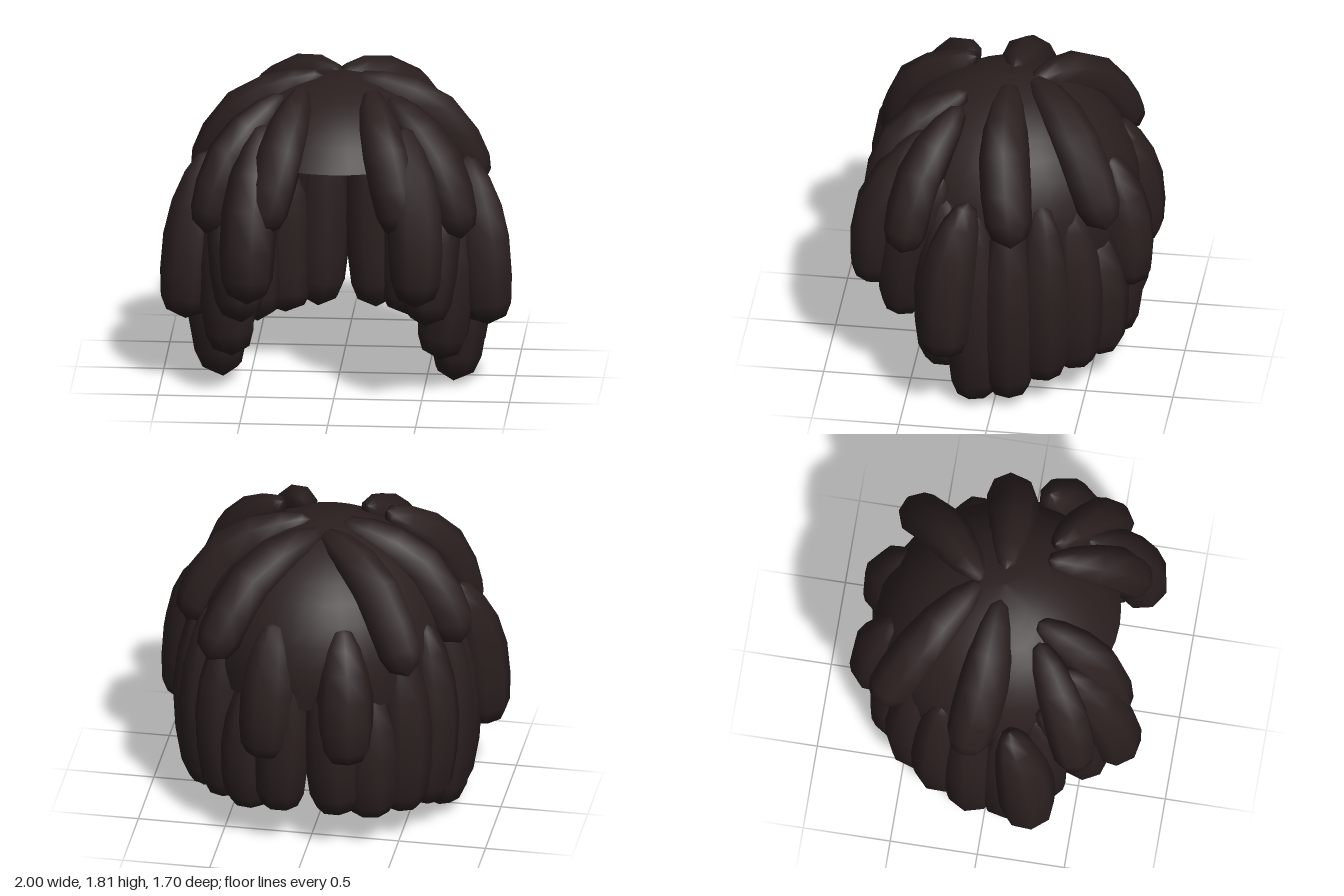
import * as THREE from 'three';

const SIDES = 8;
// thickness of a lock along its length: [position, share of full radius]
const PROFILE = [[0, 0], [0.035, 0.38], [0.15, 0.68], [0.32, 0.9], [0.5, 1], [0.7, 1], [0.86, 0.92], [0.945, 0.7], [1, 0]];

// closed rings of points joined into a smooth skin
function ringGeometry(rows, cols, pointAt) {
  const pos = [], index = [];
  for (let i = 0; i < rows; i++)
    for (let j = 0; j < cols; j++) pos.push(...pointAt(i, j));
  for (let i = 0; i < rows - 1; i++)
    for (let j = 0; j < cols; j++) {
      const a = i * cols + j, b = i * cols + (j + 1) % cols;
      index.push(a, b, a + cols, b, b + cols, a + cols);
    }
  const g = new THREE.BufferGeometry();
  g.setAttribute('position', new THREE.Float32BufferAttribute(pos, 3));
  g.setIndex(index);
  g.computeVertexNormals();
  return g;
}

// tapered tube with pointed ends following a curve
function lockGeometry(points, radius) {
  const curve = new THREE.CatmullRomCurve3(points.map(p => new THREE.Vector3(...p)));
  const rings = PROFILE.map(([t, share]) => {
    const c = curve.getPointAt(t), T = curve.getTangentAt(t);
    const U = new THREE.Vector3(c.x, 0.4, c.z);
    U.addScaledVector(T, -U.dot(T)).normalize();
    return { c, U, B: new THREE.Vector3().crossVectors(T, U), r: Math.max(share * radius, 0.001) };
  });
  return ringGeometry(rings.length, SIDES, (i, j) => {
    const { c, U, B, r } = rings[i], a = (j / SIDES) * Math.PI * 2;
    return c.clone().addScaledVector(U, Math.cos(a) * r).addScaledVector(B, Math.sin(a) * r).toArray();
  });
}

// dome whose lower edge is high at the forehead and low around the sides and nape
function capGeometry() {
  const cols = 40, rows = 11;
  return ringGeometry(rows, cols, (i, j) => {
    const a = (j / cols) * Math.PI * 2, front = Math.cos(a);
    const edge = THREE.MathUtils.lerp(0.92, 1.38, THREE.MathUtils.smoothstep(front, 0.45, 0.9));
    const p = Math.max(0.002, (i / (rows - 1)) * Math.acos((edge - 1.05) / 0.72));
    return [Math.sin(a) * Math.sin(p) * 0.72, 1.05 + Math.cos(p) * 0.72, front * Math.sin(p) * 0.74];
  });
}

// overlapping top locks of the +x side: name, radius, then points from root to tip
const TOP_LOCKS = [
  ['crown back lock', 0.14, [0, 1.74, -0.13], [0.13, 1.71, -0.24], [0.34, 1.58, -0.41], [0.58, 1.14, -0.63]],
  ['crown side lock', 0.145, [0.09, 1.76, -0.01], [0.54, 1.53, -0.04], [0.79, 1.1, -0.11]],
  ['inner fringe lock', 0.135, [0.19, 1.75, 0.22], [0.3, 1.46, 0.58], [0.4, 1.03, 0.7]],
  ['outer fringe lock', 0.16, [0.4, 1.6, 0.41], [0.47, 1.14, 0.66], [0.48, 0.62, 0.72]],
  ['temple lock', 0.135, [0.3, 1.72, 0.24], [0.58, 1.43, 0.43], [0.73, 0.98, 0.53]],
  ['outer side lock', 0.165, [0.73, 1.35, 0.14], [0.82, 0.94, 0.24], [0.86, 0.39, 0.27]],
  ['front under lock', 0.15, [0.58, 1.4, 0.3], [0.57, 0.96, 0.5], [0.52, 0.46, 0.55]],
  ['outer back lock', 0.165, [0.19, 1.4, -0.58], [0.22, 1.0, -0.68], [0.23, 0.58, -0.7]],
];

// long under locks hang in an even ring from cheek to nape: root and tip heights
const HANGING = [[1.3, 0.18], [1.25, 0], [1.3, 0.03], [1.3, 0.13], [1.25, 0.16], [1.02, 0.18], [1.3, 0.2]];

function hangingPath(i) {
  const [root, tip] = HANGING[i];
  const a = THREE.MathUtils.degToRad(62 + i * 17.8);
  const x = 0.72 * Math.sin(a), z = 0.65 * Math.cos(a);
  return [[x * 0.93, root, z * 0.93], [x, (root + tip) / 2, z], [x * 0.86 + 0.045, tip, z * 0.96]];
}

export function createModel() {
  const group = new THREE.Group();
  group.name = 'hair';
  const hair = new THREE.MeshStandardMaterial({ color: 0x2a1f1f, side: THREE.DoubleSide });
  hair.name = 'darkBrownHair';

  const add = (name, geometry) => {
    const mesh = new THREE.Mesh(geometry, hair);
    mesh.name = name;
    group.add(mesh);
  };
  const addPair = (name, radius, path) => {
    for (const [side, s] of [['left', 1], ['right', -1]])
      add(`${side} ${name}`, lockGeometry(path.map(([x, y, z]) => [x * s, y, z]), radius));
  };

  add('cap', capGeometry());
  for (const [name, radius, ...path] of TOP_LOCKS) addPair(name, radius, path);
  HANGING.forEach((_, i) => addPair(`hanging lock ${i + 1}`, 0.16, hangingPath(i)));
  return group;
}
